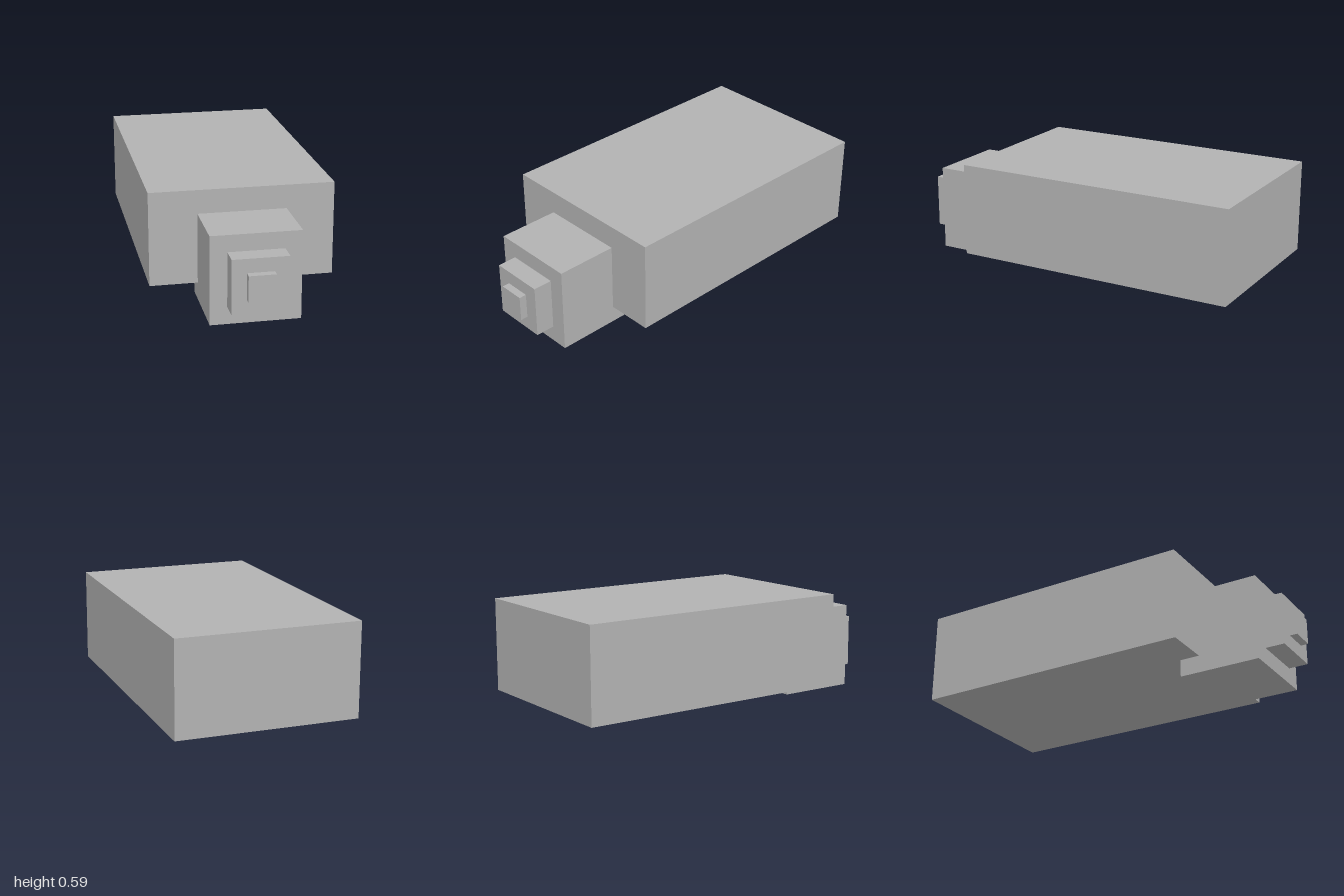
import * as THREE from 'three';

export function createModel() {
  const group = new THREE.Group();
  const grey = new THREE.MeshStandardMaterial({ color: 0xb2b2b2 });
  grey.name = 'grey';

  // Box centred on x, given its width and its y and z ranges
  function block(name, width, y0, y1, z0, z1) {
    const mesh = new THREE.Mesh(new THREE.BoxGeometry(width, y1 - y0, z1 - z0), grey);
    mesh.name = name;
    mesh.position.set(0, (y0 + y1) / 2, (z0 + z1) / 2);
    group.add(mesh);
  }

  // Long main body
  block('body', 0.957, 0.092, 0.588, -1, 0.527);
  // Stepped front, each block smaller than the one behind
  block('frontHousing', 0.46, 0, 0.463, 0.42, 0.857);
  block('frontCollar', 0.286, 0.09, 0.375, 0.8, 0.96);
  block('frontTip', 0.137, 0.165, 0.302, 0.94, 1);

  return group;
}
